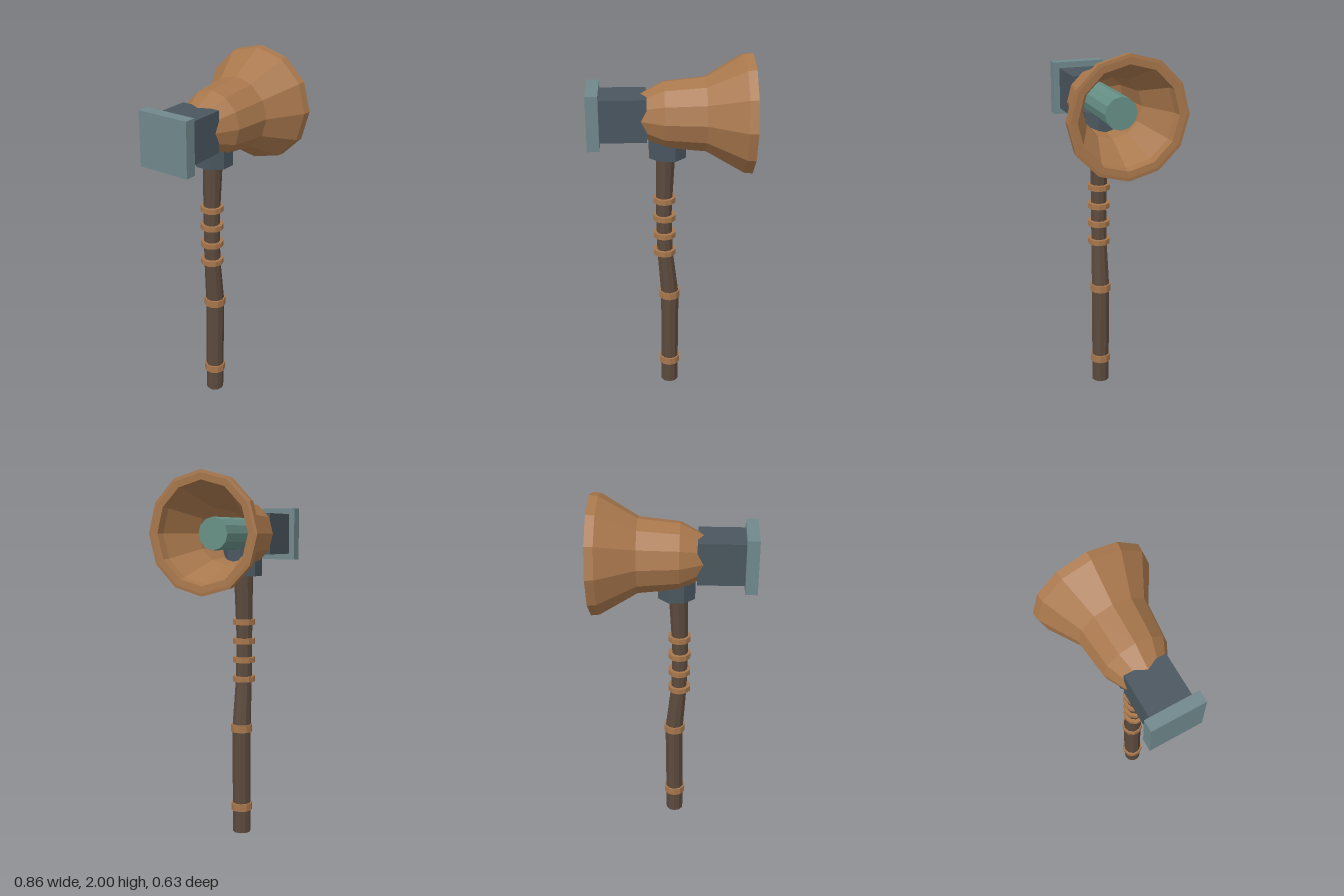
import * as THREE from 'three';

const mat = (color, side = THREE.FrontSide) =>
  new THREE.MeshStandardMaterial({ color, side, flatShading: true });

export function createModel() {
  const group = new THREE.Group();
  const wood = mat(0x5c4a3d);
  const copper = mat(0xa8774c);
  const bellCopper = mat(0xa8774c, THREE.DoubleSide);
  const iron = mat(0x4a565f);
  const plate = mat(0x70888c);
  const teal = mat(0x668f85);
  const axisY = 1.685;

  const add = (name, geometry, material, x, y, z = 0) => {
    const mesh = new THREE.Mesh(geometry, material);
    mesh.name = name;
    mesh.position.set(x, y, z);
    group.add(mesh);
    return mesh;
  };

  // Bent handle: a cylinder whose rows follow [height, x offset, radius]
  const rows = [
    [0, 0, 0.05], [0.6, 0.002, 0.052], [0.88, -0.025, 0.045],
    [1.1, -0.031, 0.044], [1.2, -0.029, 0.046], [1.5, -0.02, 0.054],
  ];
  const n = rows.length - 1;
  const handle = new THREE.CylinderGeometry(1, 1, 1, 10, n);
  const p = handle.attributes.position;
  for (let i = 0; i < p.count; i++) {
    const [y, x, r] = rows[Math.round((p.getY(i) + 0.5) * n)];
    p.setXYZ(i, x + p.getX(i) * r, y, p.getZ(i) * r);
  }
  handle.computeVertexNormals();
  add('handle', handle, wood, 0, 0);

  // Copper bands: two wide ones low down, four narrow ones on the grip
  [[0.15, 0], [0.605, 0]].forEach(([y, x]) =>
    add('handleBand', new THREE.CylinderGeometry(0.06, 0.06, 0.042, 10), copper, x, y));
  [0.882, 0.99, 1.095, 1.202].forEach((y) =>
    add('gripRing', new THREE.CylinderGeometry(0.063, 0.063, 0.03, 10), copper, -0.027, y));

  // Octagonal collar joining handle and bell
  const collar = new THREE.CylinderGeometry(0.105, 0.105, 0.18, 8);
  collar.rotateY(Math.PI / 8);
  add('collar', collar, iron, -0.012, 1.547);

  // Hollow bell, its mouth toward +x: [radius, distance along the axis]
  const profile = [
    [0.001, -0.16], [0.108, -0.16], [0.175, -0.03], [0.197, 0.185],
    [0.312, 0.38], [0.317, 0.425], [0.3, 0.427], [0.265, 0.425],
    [0.258, 0.38], [0.16, 0.185], [0.14, -0.03], [0.085, -0.115], [0.001, -0.115],
  ].map(([r, d]) => new THREE.Vector2(r, d));
  const bell = new THREE.LatheGeometry(profile, 12);
  bell.rotateZ(-Math.PI / 2);
  add('bell', bell, bellCopper, 0, axisY);

  // Clapper inside the bell
  const clapper = new THREE.CylinderGeometry(0.086, 0.086, 0.42, 12);
  clapper.rotateZ(-Math.PI / 2);
  add('clapper', clapper, teal, 0.1, axisY);

  // Hammer block and striking plate on the other side
  add('hammerBlock', new THREE.BoxGeometry(0.25, 0.226, 0.226), iron, -0.245, axisY);
  add('strikingPlate', new THREE.BoxGeometry(0.064, 0.292, 0.292), plate, -0.396, axisY);

  return group;
}
